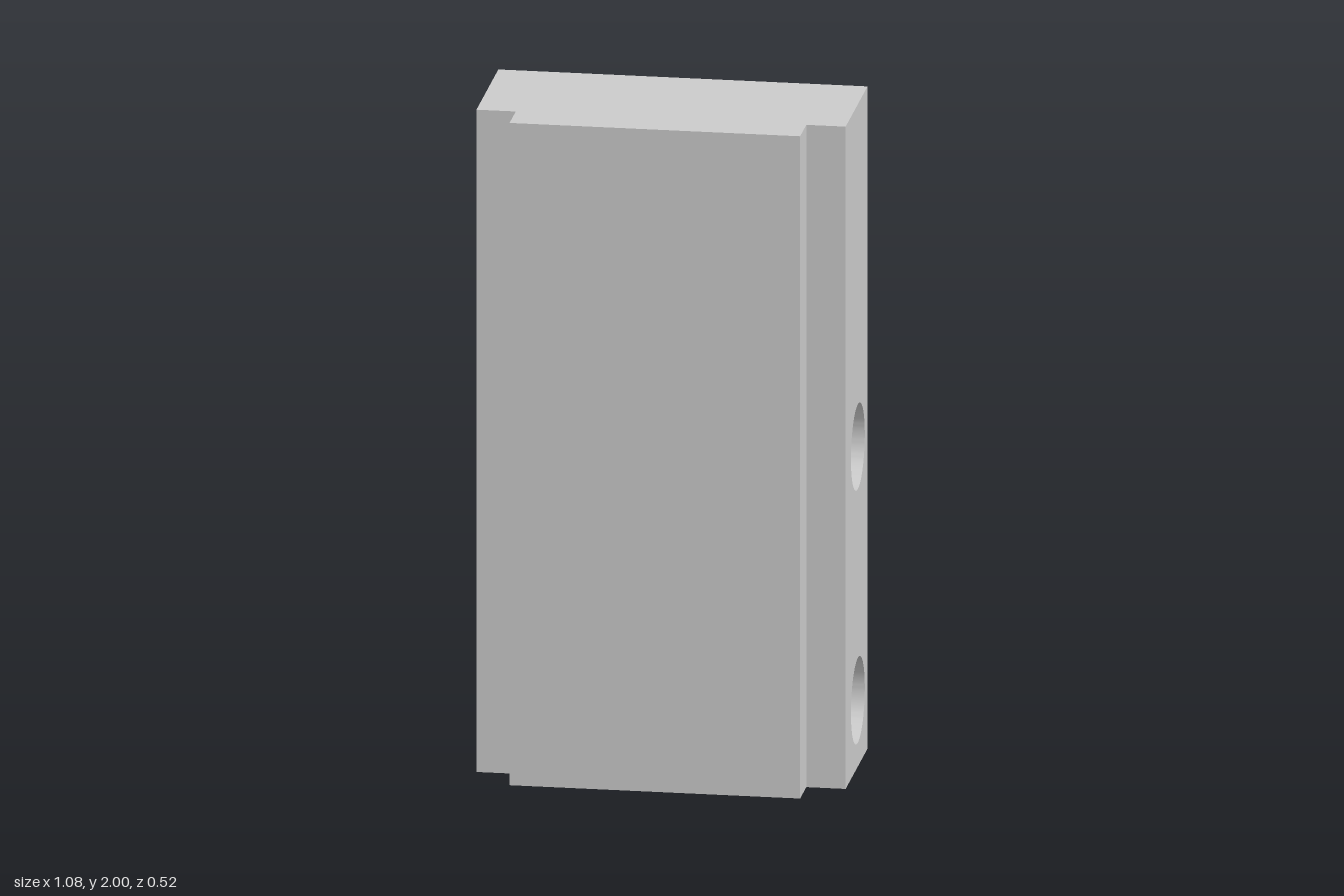
import * as THREE from 'three';
import { toCreasedNormals } from 'three/addons/utils/BufferGeometryUtils.js';

const HEIGHT = 2, HALF_WIDTH = 0.54, RIDGE_HALF = 0.425;
const BACK = -0.26, STEP = 0.145, FRONT = 0.26;
const HOLE_Z = -0.081, HOLE_RADIUS = 0.128, HOLE_HEIGHTS = [0.2, 0.966];

// Removes the faces pointing along z in the given direction (hidden joints)
function dropFacesAlongZ(geometry, sign) {
  const pos = geometry.attributes.position, normal = geometry.attributes.normal;
  const kept = [];
  for (let i = 0; i < pos.count; i += 3) {
    // the outer step plane or ridge back only, never the hole walls
    const onJoint = [0, 1, 2].every((k) => Math.abs(pos.getZ(i + k) - STEP) < 1e-4);
    if (onJoint && normal.getZ(i) * sign > 0.99) continue;
    for (let k = 0; k < 3; k++) kept.push(pos.getX(i + k), pos.getY(i + k), pos.getZ(i + k));
  }
  const result = new THREE.BufferGeometry();
  result.setAttribute('position', new THREE.Float32BufferAttribute(kept, 3));
  result.computeVertexNormals();
  return result;
}

export function createModel() {
  const group = new THREE.Group();
  group.name = 'steppedBlock';
  const material = new THREE.MeshStandardMaterial({ color: 0xcccccc });
  const add = (name, geometry) => {
    const mesh = new THREE.Mesh(geometry, material);
    mesh.name = name;
    group.add(mesh);
    return mesh;
  };

  // Main body: side profile with two round holes, extruded across the width
  const profile = new THREE.Shape([
    new THREE.Vector2(BACK, 0), new THREE.Vector2(STEP, 0),
    new THREE.Vector2(STEP, HEIGHT), new THREE.Vector2(BACK, HEIGHT),
  ]);
  for (const y of HOLE_HEIGHTS) {
    profile.holes.push(new THREE.Path().absarc(HOLE_Z, y, HOLE_RADIUS, 0, Math.PI * 2, true));
  }
  const body = new THREE.ExtrudeGeometry(profile, {
    depth: HALF_WIDTH * 2, bevelEnabled: false, curveSegments: 48,
  });
  body.translate(0, 0, -HALF_WIDTH).rotateY(-Math.PI / 2);
  add('body', toCreasedNormals(dropFacesAlongZ(body, 1), 0.5));

  // Raised front panel, open where it meets the body
  const ridge = new THREE.BoxGeometry(RIDGE_HALF * 2, HEIGHT, FRONT - STEP).toNonIndexed();
  ridge.translate(0, HEIGHT / 2, (FRONT + STEP) / 2);
  add('frontPanel', dropFacesAlongZ(ridge, -1));

  // Narrow shoulders on both sides of the front panel
  for (const side of [-1, 1]) {
    const shoulder = add(side > 0 ? 'leftShoulder' : 'rightShoulder',
      new THREE.PlaneGeometry(HALF_WIDTH - RIDGE_HALF, HEIGHT));
    shoulder.position.set(side * (HALF_WIDTH + RIDGE_HALF) / 2, HEIGHT / 2, STEP);
  }
  return group;
}
